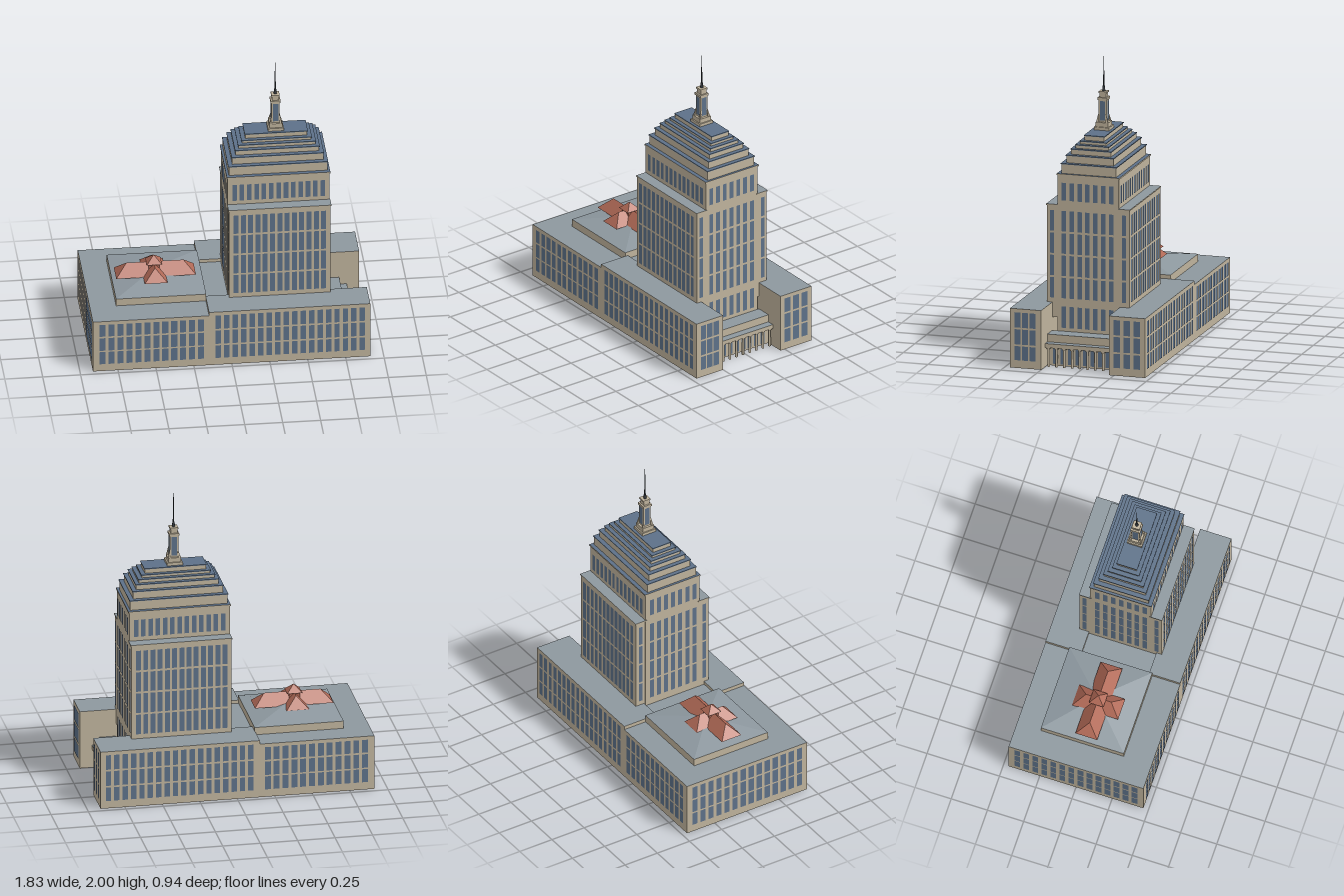
import * as THREE from 'three';
import { mergeGeometries } from 'three/addons/utils/BufferGeometryUtils.js';

const mat = (name, color, side = THREE.FrontSide) => {
  const m = new THREE.MeshStandardMaterial({ color, side });
  m.name = name;
  return m;
};

export function createModel() {
  const root = new THREE.Group();
  root.name = 'officeTower';
  const stone = mat('stone', 0xc0b49d, THREE.DoubleSide);
  const roof = mat('greyRoof', 0x8d989f, THREE.DoubleSide);
  const glass = mat('blueGlass', 0x5d7189);
  const tile = mat('redTile', 0xb26a57);
  const dark = mat('darkMetal', 0x33383d);

  const add = (name, geo, material, parent = root) => {
    const m = new THREE.Mesh(geo, material);
    m.name = name;
    parent.add(m);
    return m;
  };
  const boxGeo = (x0, x1, y0, y1, z0, z1) =>
    new THREE.BoxGeometry(x1 - x0, y1 - y0, z1 - z0)
      .translate((x0 + x1) / 2, (y0 + y1) / 2, (z0 + z1) / 2);

  // Box with a coloured top; hollow ones have no floor
  const block = (name, [x0, x1], [y0, y1], [z0, z1], top = roof, hollow = false) => {
    const g = boxGeo(x0, x1, y0, y1, z0, z1);
    if (hollow) g.groups = g.groups.filter((s) => s.materialIndex !== 3);
    return add(name, g, [stone, stone, top, stone, stone, stone]);
  };

  // Box whose top face is moved to another rectangle (hips, pyramids)
  const hip = (name, [x0, x1], [y0, y1], [z0, z1], [tx0, tx1], [tz0, tz1], material) => {
    const g = new THREE.BoxGeometry(1, 1, 1);
    const p = g.attributes.position;
    for (let i = 0; i < p.count; i++) {
      const top = p.getY(i) > 0, r = p.getX(i) > 0, f = p.getZ(i) > 0;
      p.setXYZ(i,
        top ? (r ? tx1 : tx0) : (r ? x1 : x0),
        top ? y1 : y0,
        top ? (f ? tz1 : tz0) : (f ? z1 : z0));
    }
    const flat = g.toNonIndexed();
    flat.computeVertexNormals();
    return add(name, flat, material);
  };

  // Grid of window panes on one face: n columns between a0 and a1
  const TURN = { front: 0, back: Math.PI, left: Math.PI / 2, right: -Math.PI / 2 };
  const windows = (name, face, at, [a0, a1], n, width, rows) => {
    const panes = [];
    const alongX = face === 'front' || face === 'back';
    const out = face === 'front' || face === 'left' ? 0.003 : -0.003;
    for (let i = 0; i < n; i++) {
      const a = n === 1 ? (a0 + a1) / 2 : a0 + width / 2 + ((a1 - a0 - width) * i) / (n - 1);
      for (const [y0, y1] of rows) {
        panes.push(new THREE.PlaneGeometry(width, y1 - y0).rotateY(TURN[face])
          .translate(alongX ? a : at + out, (y0 + y1) / 2, alongX ? at + out : a));
      }
    }
    add(name, mergeGeometries(panes), glass);
  };

  // Low blocks around the tower
  block('westBlock', [-0.915, -0.15], [0, 0.375], [-0.465, 0.465], roof, true);
  block('frontWing', [-0.15, 0.912], [0, 0.4], [0.25, 0.465], roof, true);
  block('backWing', [-0.15, 0.912], [0, 0.4], [-0.465, -0.215], roof, true);
  block('linkBlock', [-0.15, 0], [0.3, 0.378], [-0.215, 0.25], roof, true);

  const lowRows = [[0.053, 0.145], [0.155, 0.25], [0.262, 0.352]];
  const wingRows = [[0.053, 0.148], [0.16, 0.262], [0.274, 0.376]];
  for (const [face, z] of [['front', 0.465], ['back', -0.465]]) {
    windows(face + 'WestWindows', face, z, [-0.872, -0.183], 12, 0.04, lowRows);
    windows(face + 'WingWindows', face, z, [-0.108, 0.878], 18, 0.036, wingRows);
  }
  windows('westEndWindows', 'right', -0.915, [-0.425, 0.425], 14, 0.04, lowRows);
  windows('frontWingEndWindows', 'left', 0.912, [0.287, 0.433], 3, 0.042, wingRows);
  windows('backWingEndWindows', 'left', 0.912, [-0.43, -0.247], 3, 0.046, wingRows);

  // Entrance portico
  block('porticoWall', [0.675, 0.775], [0, 0.13], [-0.213, 0.25]);
  block('porticoCanopy', [0.675, 0.83], [0.13, 0.158], [-0.213, 0.25]);
  block('porticoAttic', [0.675, 0.78], [0.158, 0.21], [-0.213, 0.25]);
  windows('porticoWindows', 'left', 0.775, [-0.182, 0.212], 8, 0.032, [[0.012, 0.118]]);
  const columns = [];
  for (let i = 0; i < 9; i++) {
    const z = -0.198 + i * 0.0535;
    columns.push(
      new THREE.CylinderGeometry(0.008, 0.009, 0.13, 10).translate(0.812, 0.065, z),
      boxGeo(0.801, 0.823, 0.12, 0.13, z - 0.011, z + 0.011));
  }
  add('porticoColumns', mergeGeometries(columns), stone);

  // Tower shaft, with shorter slabs on front and back
  const cx = 0.335, cz = 0.004;
  block('towerCore', [0, 0.67], [0, 1.262], [cz - 0.21, cz + 0.21], glass, true);
  block('towerCornice', [-0.006, 0.676], [1.262, 1.272], [cz - 0.215, cz + 0.215], glass);
  const rows = [[0.432, 0.57], [0.583, 0.72], [0.733, 0.87], [0.884, 1.022]];
  const topRow = [[1.092, 1.212]];
  for (const [face, s] of [['front', 1], ['back', -1]]) {
    const span = (a, b) => [cz + s * a, cz + s * b].sort((p, q) => p - q);
    block(face + 'Slab', [0.002, 0.67], [0.3, 1.055], span(0.2, 0.283));
    block(face + 'SlabCornice', [-0.003, 0.675], [1.055, 1.063], span(0.2, 0.287));
    windows(face + 'SlabWindows', face, cz + s * 0.283, [0.03, 0.64], 13, 0.033, rows);
    windows(face + 'TopWindows', face, cz + s * 0.21, [0.03, 0.64], 13, 0.03, topRow);
    windows(face + 'SlabEastEnd', 'left', 0.67, span(0.234, 0.262), 1, 0.027, rows);
    windows(face + 'SlabWestEnd', 'right', 0.002, span(0.234, 0.262), 1, 0.027, rows);
  }
  const sideSpan = [-0.172, 0.188];
  windows('towerEastWindows', 'left', 0.67, sideSpan, 7, 0.031, [[0.232, 0.376], ...rows, ...topRow]);
  windows('towerWestWindows', 'right', 0, sideSpan, 7, 0.031, [...rows, ...topRow]);

  // Stepped crown: half width, half depth, bottom, top
  const steps = [
    [0.325, 0.188, 1.272, 1.34], [0.3, 0.161, 1.34, 1.393], [0.275, 0.136, 1.393, 1.43],
    [0.253, 0.112, 1.43, 1.455], [0.228, 0.089, 1.455, 1.476], [0.204, 0.067, 1.476, 1.51],
  ];
  steps.forEach(([w, d, y0, y1], i) => {
    block('crownStep' + (i + 1), [cx - w, cx + w], [y0, y1 - 0.006], [cz - d, cz + d], glass);
    const e = 0.004;
    add('crownStepCap' + (i + 1),
      boxGeo(cx - w - e, cx + w + e, y1 - 0.006, y1, cz - d - e, cz + d + e), glass);
  });

  // Lantern and spire
  const square = (name, r, y0, y1) =>
    block(name, [cx - r, cx + r], [y0, y1], [cz - r, cz + r], stone);
  square('lanternBase', 0.052, 1.51, 1.53);
  square('lanternPlinth', 0.043, 1.53, 1.56);
  square('lantern', 0.027, 1.56, 1.71);
  square('lanternCornice', 0.033, 1.71, 1.726);
  square('lanternTop', 0.022, 1.726, 1.755);
  square('lanternCap', 0.027, 1.755, 1.766);
  for (const sx of [-1, 1]) for (const sz of [-1, 1]) {
    const x = cx + sx * 0.033, z = cz + sz * 0.033;
    hip('lanternPier', [x - 0.008, x + 0.008], [1.555, 1.612], [z - 0.008, z + 0.008],
      [cx + sx * 0.026, cx + sx * 0.026 + 0.004], [cz + sz * 0.026, cz + sz * 0.026 + 0.004], stone);
  }
  const pane = [[1.572, 1.702]];
  windows('lanternFrontPane', 'front', cz + 0.027, [cx - 0.019, cx + 0.019], 1, 0.036, pane);
  windows('lanternBackPane', 'back', cz - 0.027, [cx - 0.019, cx + 0.019], 1, 0.036, pane);
  windows('lanternEastPane', 'left', cx + 0.027, [cz - 0.019, cz + 0.019], 1, 0.036, pane);
  windows('lanternWestPane', 'right', cx - 0.027, [cz - 0.019, cz + 0.019], 1, 0.036, pane);
  add('spireFoot', new THREE.CylinderGeometry(0.007, 0.011, 0.034, 8).translate(cx, 1.783, cz), dark);
  add('spire', new THREE.CylinderGeometry(0.0015, 0.005, 0.2, 8).translate(cx, 1.9, cz), dark);

  // Pavilion with a shallow grey roof
  block('pavilion', [-0.742, -0.148], [0.375, 0.426], [-0.3, 0.272]);
  hip('pavilionRoof', [-0.742, -0.148], [0.426, 0.488], [-0.3, 0.272],
    [-0.445, -0.445], [-0.014, -0.014], roof);

  // Red cross-shaped hipped roof with a small cap
  const rx = -0.458, rz = 0.006;
  hip('longRedRoof', [-0.72, -0.195], [0.465, 0.54], [rz - 0.075, rz + 0.075],
    [-0.645, -0.27], [rz, rz], tile);
  hip('crossRedRoof', [-0.541, -0.391], [0.465, 0.54], [-0.152, 0.166],
    [-0.466, -0.466], [-0.08, 0.094], tile);
  add('redRoofNeck', boxGeo(-0.502, -0.43, 0.5, 0.54, rz - 0.036, rz + 0.036), tile);
  hip('redRoofCap', [-0.516, -0.416], [0.54, 0.59], [rz - 0.05, rz + 0.05],
    [-0.466, -0.466], [rz, rz], tile);
  return root;
}
